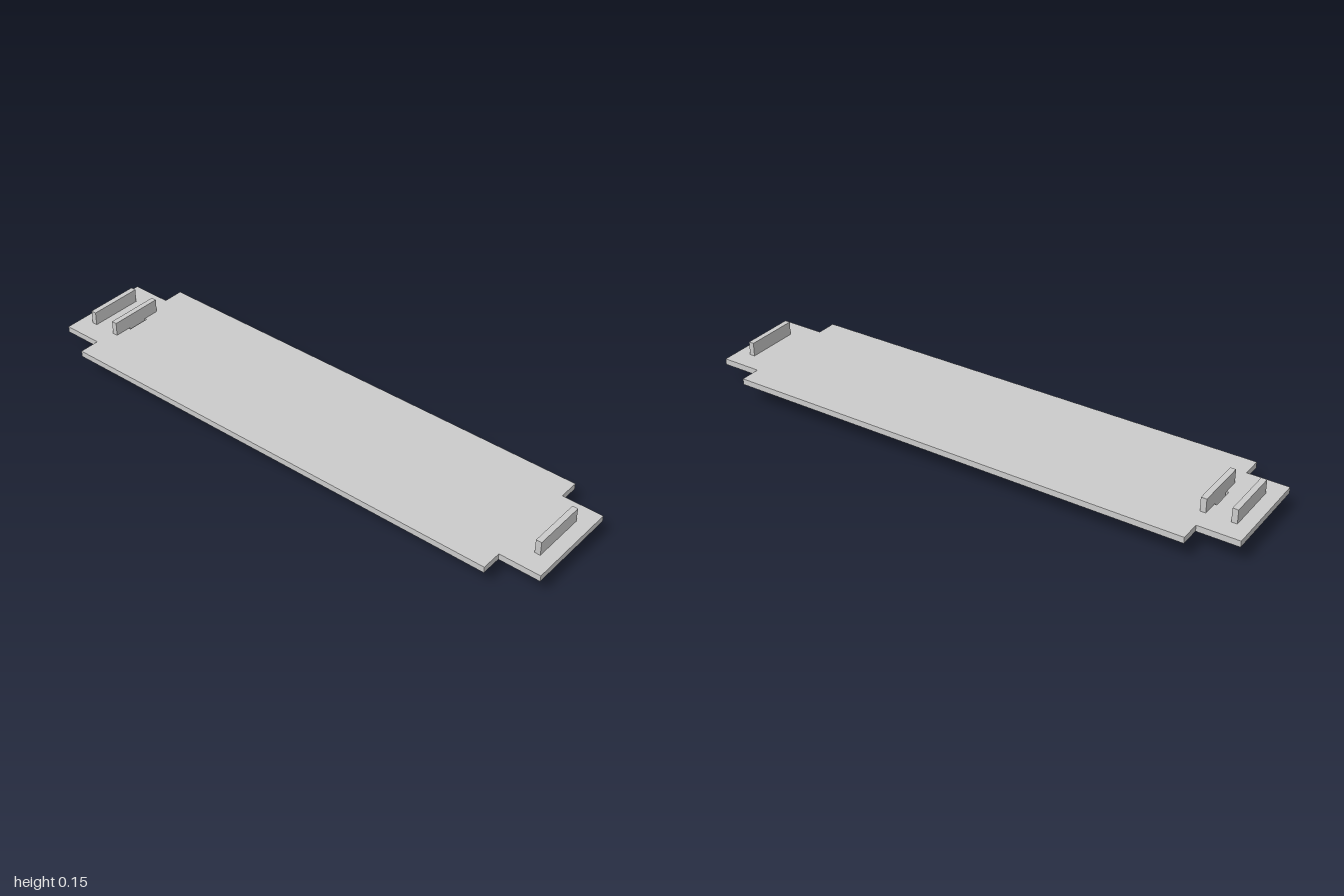
import * as THREE from 'three';

const material = new THREE.MeshStandardMaterial({ color: 0xcccccc, flatShading: true });

const BOARD_BOTTOM = 0.078;
const BOARD_TOP = 0.1;

function box(name, w, d, y0, y1) {
  const mesh = new THREE.Mesh(new THREE.BoxGeometry(w, y1 - y0, d), material);
  mesh.name = name;
  mesh.position.y = (y0 + y1) / 2;
  return mesh;
}

// Flat plank with a narrower tongue at each end and one peg slot
function createBoard() {
  const w = 0.247, t = 0.172, shoulder = 0.853, end = 1;
  const shape = new THREE.Shape([
    [-t, -end], [t, -end], [t, -shoulder], [w, -shoulder], [w, shoulder], [t, shoulder],
    [t, end], [-t, end], [-t, shoulder], [-w, shoulder], [-w, -shoulder], [-t, -shoulder],
  ].map(([x, y]) => new THREE.Vector2(x, y)));

  // Shape y becomes -z once the board is laid flat
  const hx = 0.041, hz = 0.018, c = 0.838;
  shape.holes.push(new THREE.Path([
    [-hx, c - hz], [-hx, c + hz], [hx, c + hz], [hx, c - hz],
  ].map(([x, y]) => new THREE.Vector2(x, y))));

  const geometry = new THREE.ExtrudeGeometry(shape, { depth: BOARD_TOP - BOARD_BOTTOM, bevelEnabled: false });
  geometry.rotateX(-Math.PI / 2);
  const board = new THREE.Mesh(geometry, material);
  board.name = 'board';
  board.position.y = BOARD_BOTTOM;
  return board;
}

// T-shaped peg: wide head above the board, narrow shank through it
function createPeg(name, z) {
  const peg = new THREE.Group();
  peg.name = name;
  peg.add(
    box('pegHead', 0.198, 0.02, BOARD_TOP, 0.15),
    box('pegShank', 0.073, 0.02, 0, BOARD_TOP),
  );
  peg.position.z = z;
  return peg;
}

export function createModel() {
  const model = new THREE.Group();
  model.name = 'peggedBoard';
  model.add(
    createBoard(),
    createPeg('frontPeg', 0.94),
    createPeg('innerBackPeg', -0.838),
    createPeg('outerBackPeg', -0.942),
  );
  return model;
}
